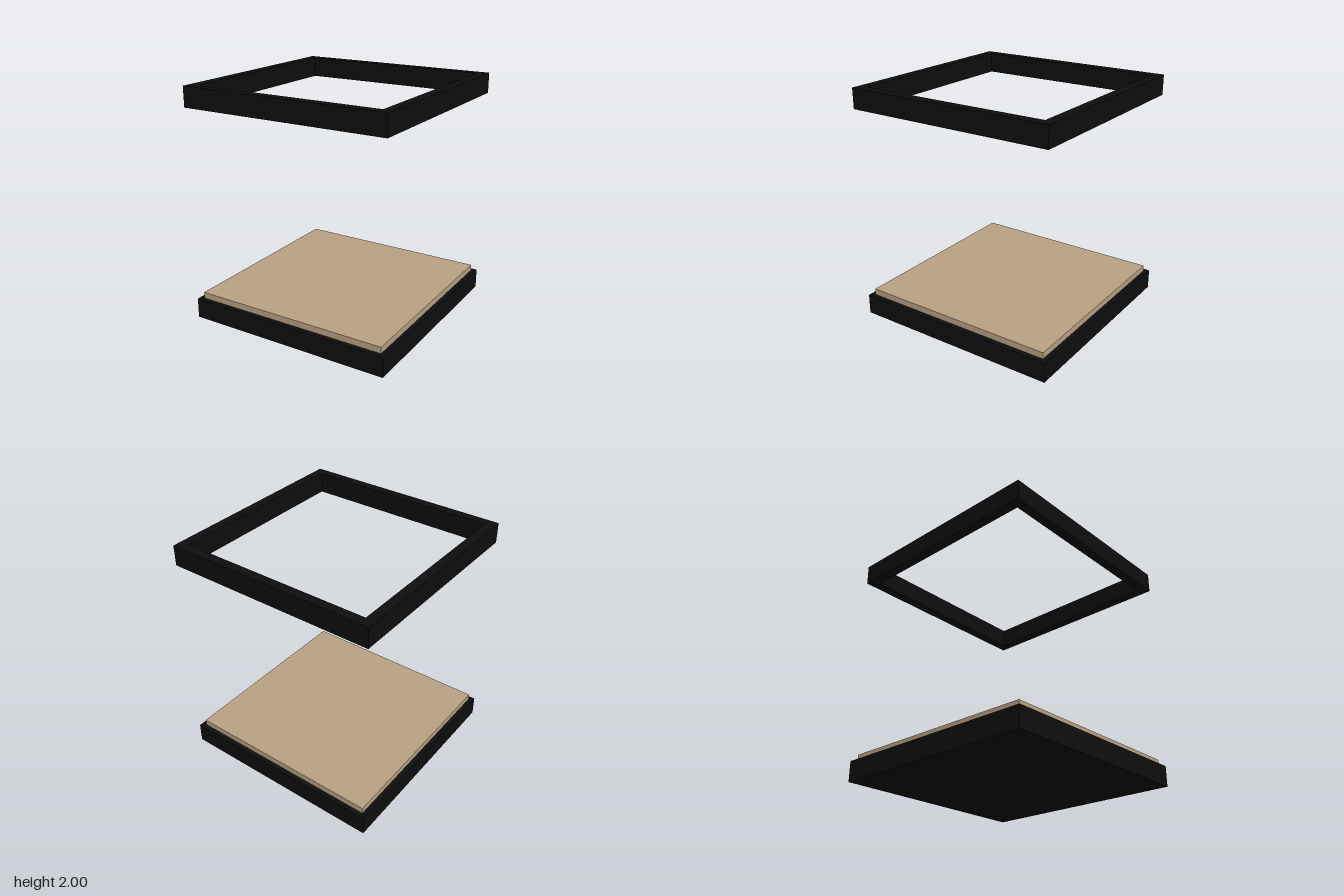
import * as THREE from 'three';

const HALF = 0.9;      // outer half width of base and top rim
const INNER = 0.82;    // half width of the rim opening

export function createModel() {
  const black = new THREE.MeshStandardMaterial({ color: 0x0e0e0e });
  black.name = 'black';
  const sand = new THREE.MeshStandardMaterial({ color: 0xb8a183 });
  sand.name = 'sand';

  const model = new THREE.Group();
  model.name = 'openEnclosure';

  // Square block resting at height y
  const slab = (name, half, y, height, material) => {
    const mesh = new THREE.Mesh(new THREE.BoxGeometry(half * 2, height, half * 2), material);
    mesh.position.y = y + height / 2;
    mesh.name = name;
    model.add(mesh);
  };

  // Base and the bed of substrate on it
  slab('base', HALF, 0, 0.172, black);
  slab('substrate', 0.86, 0.172, 0.054, sand);

  // Floating top rim: a square ring
  const ring = new THREE.Shape([[-1, -1], [1, -1], [1, 1], [-1, 1]]
    .map(([x, y]) => new THREE.Vector2(x * HALF, y * HALF)));
  ring.holes.push(new THREE.Path([[-1, -1], [-1, 1], [1, 1], [1, -1]]
    .map(([x, y]) => new THREE.Vector2(x * INNER, y * INNER))));
  const rimGeometry = new THREE.ExtrudeGeometry(ring, { depth: 0.172, bevelEnabled: false });
  rimGeometry.rotateX(-Math.PI / 2);
  const rim = new THREE.Mesh(rimGeometry, black);
  rim.position.y = 1.828;
  rim.name = 'topRim';
  model.add(rim);

  return model;
}
